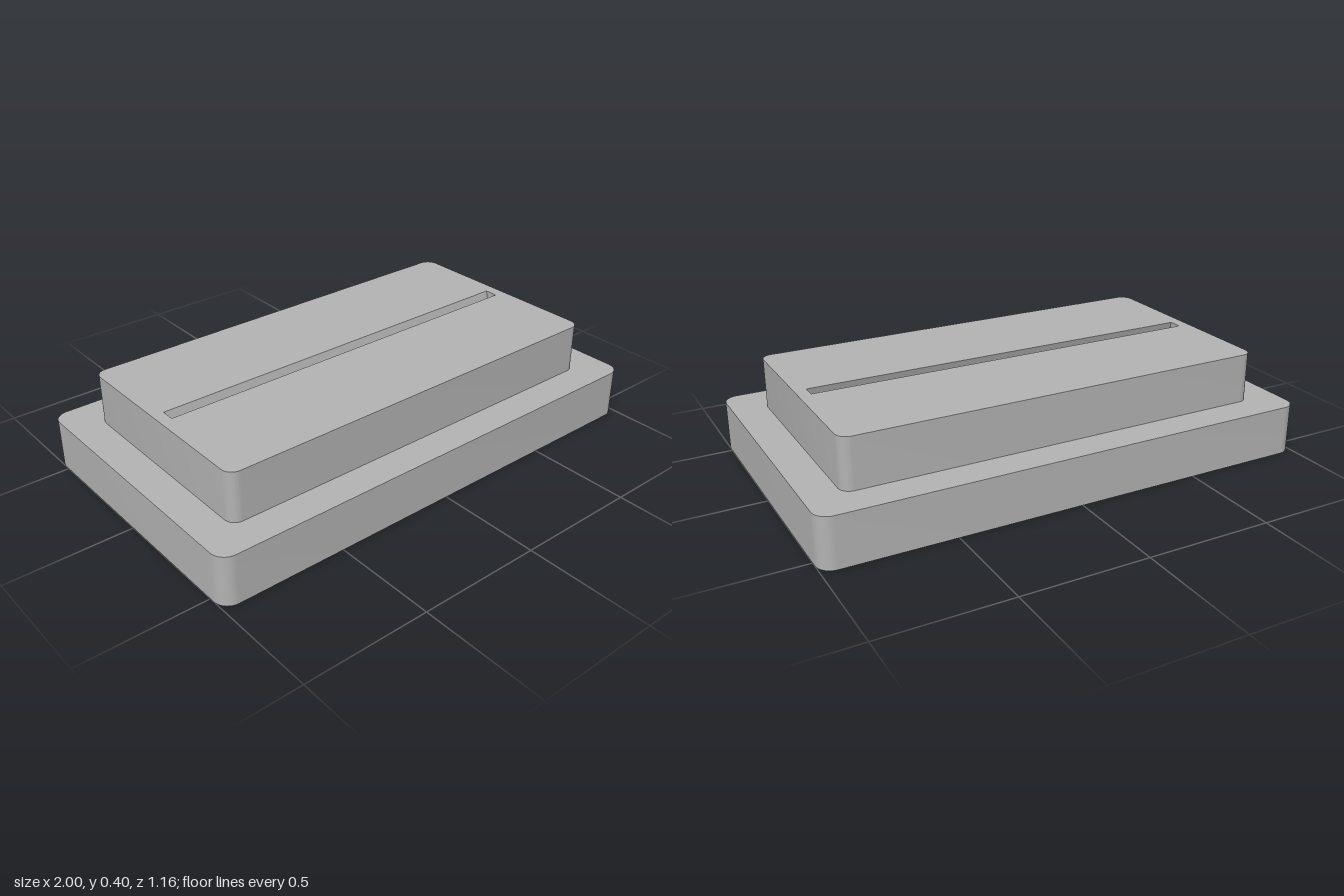
import * as THREE from 'three';
import { toCreasedNormals } from 'three/addons/utils/BufferGeometryUtils.js';

// Rounded rectangle outline, centred on the origin
function roundedRect(halfX, halfZ, r) {
  const s = new THREE.Shape();
  s.absarc(halfX - r, halfZ - r, r, 0, Math.PI / 2);
  s.absarc(-halfX + r, halfZ - r, r, Math.PI / 2, Math.PI);
  s.absarc(-halfX + r, -halfZ + r, r, Math.PI, Math.PI * 1.5);
  s.absarc(halfX - r, -halfZ + r, r, Math.PI * 1.5, Math.PI * 2);
  s.closePath();
  return s;
}

// Upright slab between two heights
function slab(shape, y0, y1) {
  const g = new THREE.ExtrudeGeometry(shape, { depth: y1 - y0, bevelEnabled: false, curveSegments: 10 });
  return g.rotateX(-Math.PI / 2).translate(0, y0, 0);
}

export function createModel() {
  const model = new THREE.Group();
  const grey = new THREE.MeshStandardMaterial({ color: 0xb3b3b3 });
  grey.name = 'plain grey';
  const add = (name, geometry) => {
    const m = new THREE.Mesh(toCreasedNormals(geometry, 0.6), grey);
    m.name = name;
    model.add(m);
  };

  // Wide lower step
  add('base', slab(roundedRect(1, 0.58, 0.06), 0, 0.2));

  // Upper step with a long slot that leans back
  const slotX = 0.817, backZ = -0.03, frontZ = 0.025;
  const backFoot = { y: 0.25, z: 0.01 }, frontFoot = { y: 0.264, z: 0.061 };
  const outline = roundedRect(0.865, 0.447, 0.045);
  outline.holes.push(new THREE.Path([
    new THREE.Vector2(-slotX, -backZ), new THREE.Vector2(slotX, -backZ),
    new THREE.Vector2(slotX, -frontZ), new THREE.Vector2(-slotX, -frontZ),
  ]));
  const upper = slab(outline, 0.2, 0.4);
  const p = upper.attributes.position;
  for (let i = 0; i < p.count; i++) {
    // Move the lower rim of the slot to its leaning foot
    if (p.getY(i) < 0.3 && Math.abs(p.getZ(i)) < 0.1 && Math.abs(p.getX(i)) < 0.84) {
      const foot = p.getZ(i) < 0 ? backFoot : frontFoot;
      p.setY(i, foot.y);
      p.setZ(i, foot.z);
    }
  }
  add('upperStep', upper);

  // Slot floor, square to the leaning walls
  const dy = frontFoot.y - backFoot.y, dz = frontFoot.z - backFoot.z;
  const floor = new THREE.PlaneGeometry(slotX * 2, Math.hypot(dy, dz));
  floor.rotateX(-Math.PI / 2 - Math.atan2(dy, dz));
  floor.translate(0, (backFoot.y + frontFoot.y) / 2, (backFoot.z + frontFoot.z) / 2);
  add('slotFloor', floor);

  return model;
}
